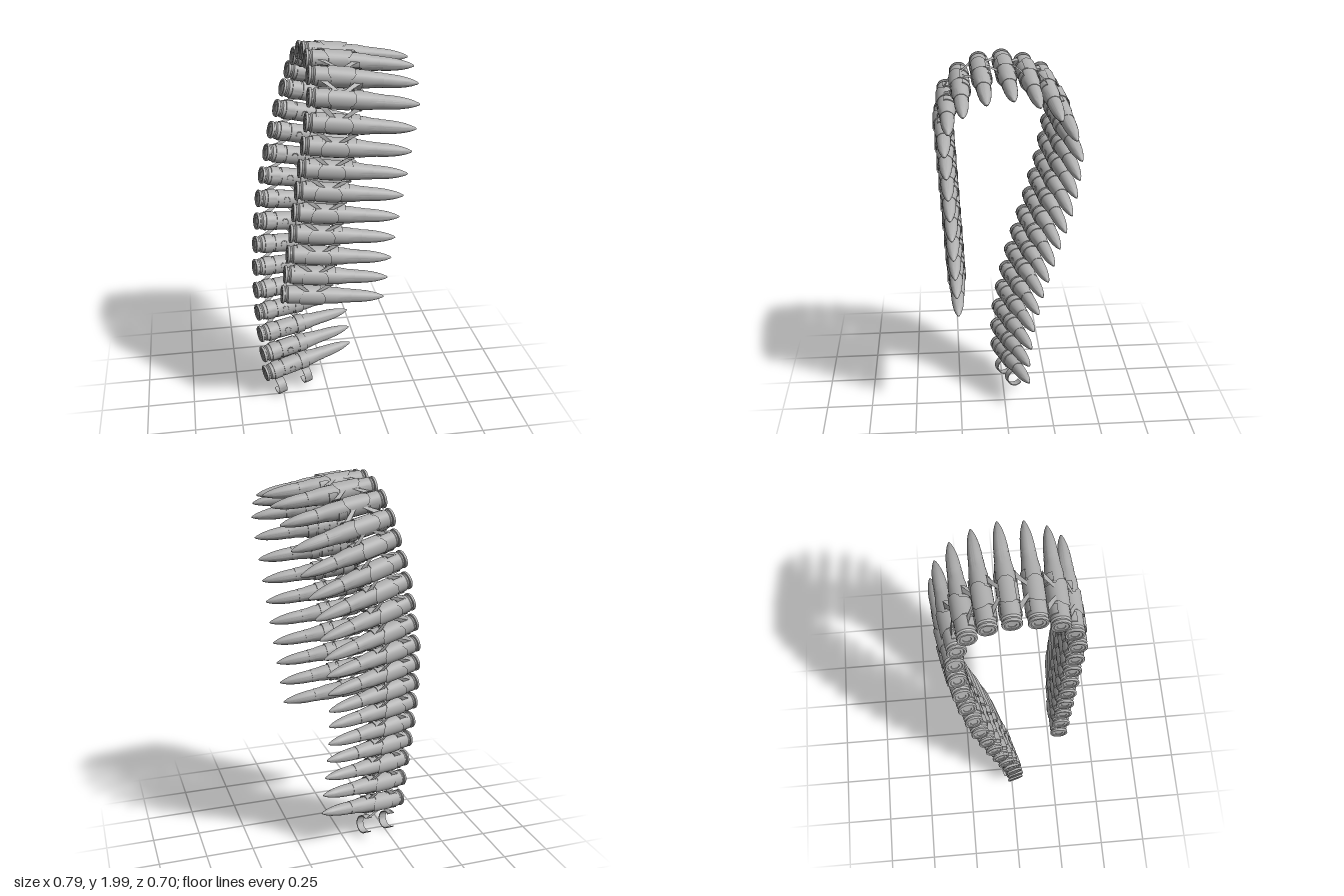
import * as THREE from 'three';
import { toCreasedNormals } from 'three/addons/utils/BufferGeometryUtils.js';

const V = (x, y, z) => new THREE.Vector3(x, y, z);

// Belt path from the hanging end: base x, y, z then tip x, y, z. Row 0 is the empty place for the last hooks.
const rounds = [
  [-.335, .055, .005, .165, .13, -.155],
  [-.355, .17, .02, .15, .23, -.125], [-.365, .295, .02, .14, .335, -.125],
  [-.375, .42, .01, .13, .44, -.135], [-.383, .545, -.01, .12, .545, -.147],
  [-.385, .667, -.035, .12, .65, -.17], [-.383, .79, -.064, .125, .755, -.19],
  [-.375, .91, -.096, .13, .85, -.215], [-.362, 1.03, -.128, .14, .95, -.24],
  [-.347, 1.145, -.16, .155, 1.055, -.265], [-.323, 1.265, -.185, .17, 1.155, -.29],
  [-.293, 1.38, -.21, .2, 1.26, -.312], [-.265, 1.495, -.228, .23, 1.365, -.328],
  [-.232, 1.605, -.24, .265, 1.47, -.335], [-.198, 1.71, -.243, .30, 1.58, -.336],
  [-.172, 1.805, -.23, .337, 1.69, -.306], [-.15, 1.885, -.18, .365, 1.795, -.23],
  [-.136, 1.935, -.093, .38, 1.865, -.13], [-.13, 1.955, .01, .39, 1.9, -.013],
  [-.128, 1.945, .12, .395, 1.885, .106], [-.13, 1.895, .217, .39, 1.83, .21],
  [-.138, 1.81, .28, .383, 1.75, .277], [-.155, 1.7, .298, .365, 1.64, .297],
];
// Straight front strand
for (let k = 1; k <= 8; k++) {
  const t = k / 8;
  rounds.push([-.155 - .12 * t, 1.7 - .905 * t, .298 - .046 * t, .365 - .116 * t, 1.64 - .905 * t, .297 - .045 * t]);
}

const lathe = (pts, seg, a0 = 0, a1 = Math.PI * 2) => toCreasedNormals(
  new THREE.LatheGeometry(pts.map(p => new THREE.Vector2(p[0], p[1])), seg, a0, a1 - a0), 0.5);

// Curved strip of sheet metal around a round; angle 0 is the inner side of the belt
const band = (s0, s1, a0, a1, r = .0445, t = .005, seg = 20) =>
  lathe([[r, s0], [r + t, s0], [r + t, s1], [r, s1], [r, s0]], seg, a0, a1);

export function createModel() {
  const gray = new THREE.MeshStandardMaterial({ color: 0xb0b0b0, side: THREE.DoubleSide });
  gray.name = 'plain gray';

  // Case with rim, groove, shoulder and neck
  const caseGeo = lathe([[0, .005], [.017, .005], [.019, .003], [.031, .003], [.034, 0], [.043, 0], [.045, .003],
    [.045, .012], [.038, .015], [.038, .022], [.0445, .029], [.0445, .1], [.042, .276], [.036, .316], [.035, .35], [.032, .35]], 24);
  // Pointed tip with a curved ogive
  const tipGeo = lathe([[.033, .345], [.033, .37], [.0315, .4], [.028, .435], [.0225, .468], [.015, .497], [.007, .518], [.003, .525], [0, .526]], 24);

  // Link parts
  const hookGeos = [[.045, .092], [.207, .25]].map(([s0, s1]) => band(s0, s1, -2.1, 2.25));
  const sleeveGeo = band(.104, .194, 0, Math.PI * 2, .0442, .004, 24);
  const plateGeo = new THREE.CylinderGeometry(.051, .051, .13, 10, 2, true, Math.PI - .75, 1.5);
  const pp = plateGeo.attributes.position;
  for (let i = 0; i < pp.count; i++) {
    // narrow the plate toward both sides to make a six-cornered outline
    const a = Math.abs(Math.atan2(pp.getX(i), -pp.getZ(i)));
    pp.setY(i, pp.getY(i) * (1 - .5 * Math.max(0, a - .3)) + .15);
  }
  const dimpleGeo = new THREE.TorusGeometry(.017, .0022, 5, 16, Math.PI * 1.4).rotateZ(.95);

  const data = rounds.map(r => ({ base: V(r[0], r[1], r[2]), tip: V(r[3], r[4], r[5]) }));
  // Frame of each round: y along its axis, x toward the hanging end, z to the inner side
  data.forEach((d, i) => {
    const y = d.tip.clone().sub(d.base).normalize();
    const prev = data[Math.max(i - 1, 0)].base, next = data[Math.min(i + 1, data.length - 1)].base;
    const x = prev.clone().sub(next);
    x.addScaledVector(y, -x.dot(y)).normalize();
    const z = x.clone().cross(y);
    d.matrix = new THREE.Matrix4().makeBasis(x, y, z).setPosition(d.base);
  });

  const model = new THREE.Group();
  model.name = 'linkedBelt';
  const place = (parent, name, geo, matrix) => {
    const m = new THREE.Mesh(geo, gray);
    m.name = name;
    if (matrix) m.applyMatrix4(matrix);
    parent.add(m);
    return m;
  };

  for (let i = 1; i < data.length; i++) {
    const d = data[i], prev = data[i - 1];

    const round = new THREE.Group();
    round.name = 'round' + i;
    round.applyMatrix4(d.matrix);
    place(round, 'case', caseGeo);
    place(round, 'tip', tipGeo);
    model.add(round);

    const link = new THREE.Group();
    link.name = 'link' + i;
    place(link, 'sleeve', sleeveGeo, d.matrix);
    place(link, 'outerPlate', plateGeo, d.matrix);
    const dimple = place(round, 'dimple', dimpleGeo);
    dimple.position.set(0, .149, .0465);

    // Hooks grip the neighbouring round, sloping arms join them to the sleeve
    hookGeos.forEach((geo, k) => {
      place(link, 'hook', geo, prev.matrix);
      const corner = (m, x, s, z) => V(x, s, z).applyMatrix4(m);
      const sIn = k ? [.165, .19] : [.108, .133], sOut = k ? [.21, .245] : [.05, .087];
      const q = [
        corner(d.matrix, .038, sIn[0], -.030), corner(d.matrix, .038, sIn[1], -.030),
        corner(prev.matrix, -.043, sOut[1], -.024), corner(prev.matrix, -.043, sOut[0], -.024),
      ];
      const arm = new THREE.BufferGeometry().setFromPoints([q[0], q[1], q[2], q[0], q[2], q[3]]);
      arm.computeVertexNormals();
      place(link, 'arm', arm);
    });
    model.add(link);
  }
  return model;
}
